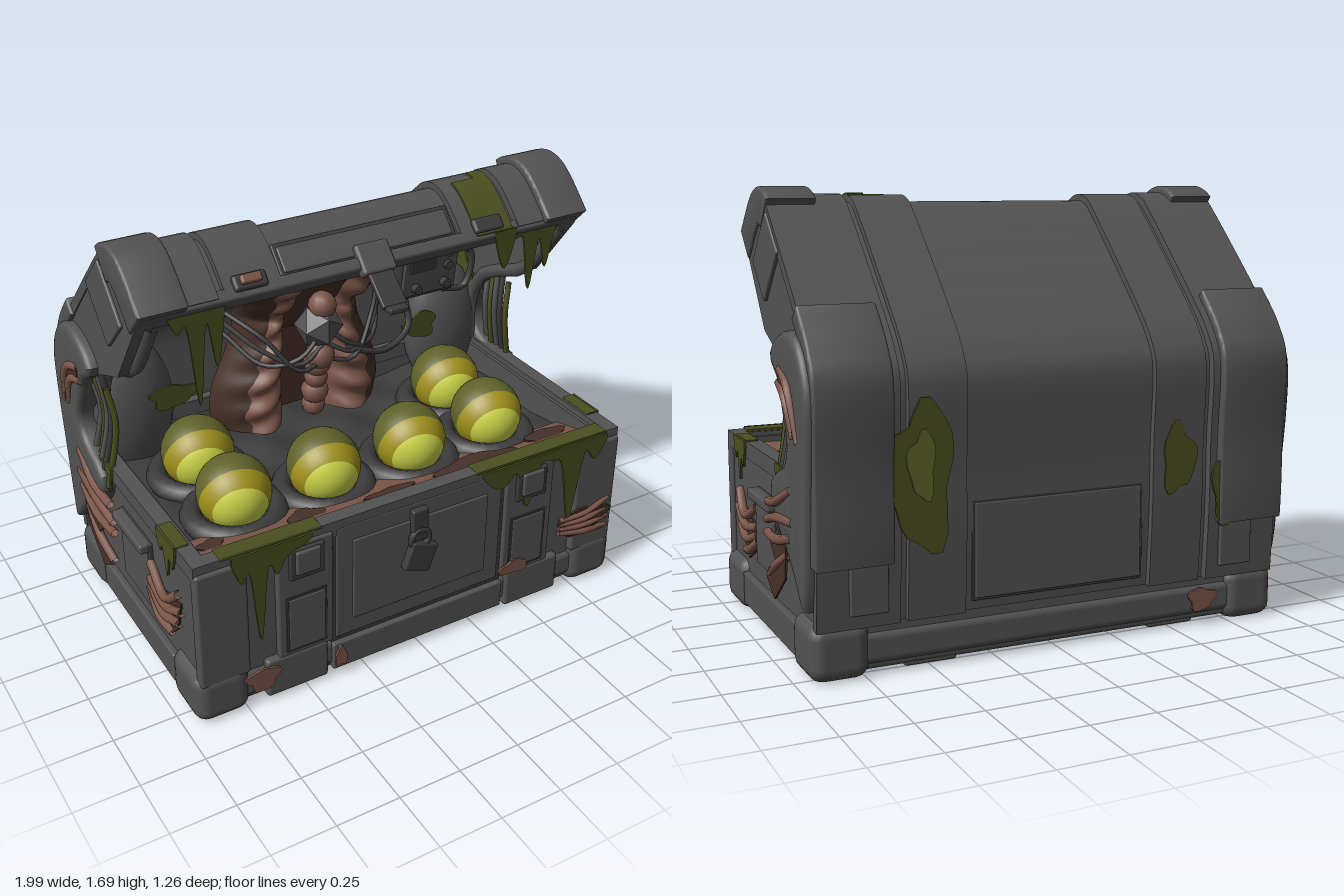
import * as THREE from 'three';
import { toCreasedNormals } from 'three/addons/utils/BufferGeometryUtils.js';
import { RoundedBoxGeometry } from 'three/addons/geometries/RoundedBoxGeometry.js';
import { ParametricGeometry } from 'three/addons/geometries/ParametricGeometry.js';

export function createModel() {
  const model = new THREE.Group();
  const mat = (name, color, side = THREE.FrontSide) => {
    const m = new THREE.MeshStandardMaterial({ color, side });
    m.name = name;
    return m;
  };
  const metal = mat('worn grey metal', 0x535353);
  const dark = mat('dark grey metal', 0x3c3c3c);
  const flesh = mat('brown flesh', 0x7c5649, THREE.DoubleSide);
  const deep = mat('deep brown', 0x463028, THREE.DoubleSide);
  const slime = mat('dark slime', 0x4a5020, THREE.DoubleSide);
  const olive = mat('olive shell', 0x60622a);
  const gold = mat('golden shell', 0xa0911c);
  const bright = mat('glowing yellow', 0xcfd84a);

  const add = (name, geo, m, x = 0, y = 0, z = 0, rx = 0, ry = 0, rz = 0) => {
    const mesh = new THREE.Mesh(geo, m);
    mesh.name = name;
    mesh.position.set(x, y, z);
    mesh.rotation.set(rx, ry, rz);
    model.add(mesh);
    return mesh;
  };
  const box = (name, m, w, h, d, ...place) =>
    add(name, new RoundedBoxGeometry(w, h, d, 2, Math.min(w, h, d) * 0.25), m, ...place);
  const tube = (name, m, pts, r) => add(name, new THREE.TubeGeometry(
    new THREE.CatmullRomCurve3(pts.map(p => new THREE.Vector3(...p))), 16, r, 7), m);
  const shapeOf = pts => new THREE.Shape(pts.map(p => new THREE.Vector2(...p)));
  const spline = pts => new THREE.SplineCurve(pts.map(p => new THREE.Vector2(...p)));
  // Extrudes a [z, y] outline along x
  const slab = (name, m, pts, x0, x1, bevel = 0) => {
    const g = new THREE.ExtrudeGeometry(shapeOf(pts), {
      depth: x1 - x0 - 2 * bevel, bevelEnabled: bevel > 0,
      bevelSize: bevel, bevelThickness: bevel, bevelSegments: 3 });
    g.rotateY(-Math.PI / 2).translate(x1 - bevel, 0, 0);
    return add(name, toCreasedNormals(g, 0.6), m);
  };
  // Slime sheet with a dripping lower edge, drip lengths run from left to right
  const sheet = (x0, x1, top, lens, ...place) => {
    const edge = spline(lens.map((l, i) => [x0 + (x1 - x0) * i / (lens.length - 1), top - l]));
    const s = new THREE.Shape([new THREE.Vector2(x1, top), new THREE.Vector2(x0, top), ...edge.getPoints(lens.length * 5)]);
    add('slimeSheet', new THREE.ExtrudeGeometry(s, { depth: 0.009, bevelEnabled: false }), slime, ...place);
  };
  // Thin irregular stain
  const blob = (name, m, x, y, z, w, h, ry = 0, rx = 0) => {
    const pts = Array.from({ length: 24 }, (_, i) => {
      const a = i / 24 * Math.PI * 2, r = 1 + 0.15 * Math.sin(3 * a + x * 9) + 0.1 * Math.sin(5 * a);
      return [w * r * Math.cos(a), h * r * Math.sin(a)];
    });
    add(name, new THREE.ExtrudeGeometry(shapeOf(pts), { depth: 0.009, bevelEnabled: false }), m, x, y, z, rx, ry);
  };

  // Open lower box with rim and floor
  const frame = (name, w, z0, z1, t, y0, y1) => {
    const rect = (a, b, c, d) => [[a, c], [b, c], [b, d], [a, d]];
    const s = shapeOf(rect(-w, w, -z1, -z0));
    s.holes.push(new THREE.Path(rect(-w + t, w - t, -z1 + t, -z0 - t).map(p => new THREE.Vector2(...p))));
    const g = new THREE.ExtrudeGeometry(s, { depth: y1 - y0, bevelEnabled: false });
    add(name, g.rotateX(-Math.PI / 2), metal, 0, y0, 0);
  };
  frame('chestWalls', 0.92, -0.54, 0.57, 0.06, 0.05, 0.69);
  frame('chestRim', 0.935, -0.52, 0.585, 0.06, 0.65, 0.715);
  box('chestFloor', metal, 1.84, 0.08, 1.11, 0, 0.07, 0.015);
  box('baseBand', metal, 1.86, 0.12, 1.14, 0, 0.11, 0.015);

  // Lid profile in [z, y], running from the back base to the front lip
  const profile = spline([[-0.545, 0.2], [-0.56, 0.5], [-0.56, 0.75], [-0.57, 1.02],
    [-0.53, 1.13], [-0.42, 1.26], [-0.1, 1.575], [-0.02, 1.635], [0.05, 1.64], [0.12, 1.6], [0.225, 1.5]]);
  const offset = (d, a = 0, b = 1, n = 36) => Array.from({ length: n + 1 }, (_, i) => {
    const t = a + (b - a) * i / n, p = profile.getPoint(t), q = profile.getTangent(t);
    return [p.x - q.y * d, p.y + q.x * d];
  });
  const strip = (name, m, d0, d1, x0, x1, a, b, bevel) =>
    slab(name, m, [...offset(d1, a, b), ...offset(d0, a, b).reverse()], x0, x1, bevel);
  strip('lidShell', metal, -0.06, 0, -0.91, 0.91);
  box('lidLip', metal, 1.82, 0.05, 0.1, 0, 1.49, 0.2, -0.75);
  box('lidInnerLip', dark, 1.7, 0.03, 0.05, 0, 1.465, 0.175, -0.75);

  for (const s of [-1, 1]) {
    const span = (a, b) => s > 0 ? [a, b] : [-b, -a];
    strip('lidBand', metal, -0.01, 0.025, ...span(0.38, 0.6), 0, 1);
    strip('lidEnd', metal, -0.01, 0.03, ...span(0.63, 0.935), 0, 1);
    strip('lidEndRidge', metal, 0, 0.045, ...span(0.66, 0.95), 0.08, 0.5, 0.012);
    strip('lidCornerCap', metal, -0.07, 0.045, ...span(0.75, 0.94), 0.64, 1, 0.012);
    slab('lidSide', metal, [...offset(0.02, 0.1), [0.21, 1.46], [0, 1.18], [-0.17, 1.11],
      [-0.28, 1.06], [-0.35, 0.96], [-0.39, 0.84], [-0.36, 0.7], [-0.4, 0.5]], ...span(0.86, 0.93));
    // Swollen hinge growth on the side
    slab('hingeGrowth', metal, spline([[-0.53, 0.3], [-0.56, 0.6], [-0.585, 0.85], [-0.58, 1.04], [-0.49, 1.17],
      [-0.36, 1.19], [-0.23, 1.12], [-0.31, 1.05], [-0.36, 0.95], [-0.41, 0.83], [-0.36, 0.73], [-0.2, 0.65],
      [-0.25, 0.54], [-0.42, 0.42], [-0.53, 0.3]]).getPoints(56).slice(0, -1), ...span(0.88, 0.975), 0.025);
    tube('lidOpeningRim', metal, [[0.2, 1.46], [0, 1.2], [-0.17, 1.12], [-0.29, 1.05], [-0.36, 0.92], [-0.37, 0.72]]
      .map(([z, y]) => [s * 0.865, y, z]), 0.028);
    box('lidSidePanel', metal, 0.03, 0.2, 0.26, s * 0.928, 1.45, -0.06, 0.8);
    // Swollen tissue in the lower lid corners
    add('innerSwelling', new THREE.SphereGeometry(1, 24, 16), metal, s * 0.74, 0.8, -0.42).scale.set(0.18, 0.3, 0.11);

    // Corner caps, straps and clasps
    for (const z of [0.48, -0.45]) box('cornerCap', metal, 0.22, 0.21, 0.25, s * 0.845, 0.115, z);
    box('cornerPost', metal, 0.2, 0.5, 0.05, s * 0.835, 0.43, 0.575);
    box('frontStrap', metal, 0.23, 0.5, 0.04, s * 0.5, 0.43, 0.575);
    box('strapPanel', dark, 0.17, 0.25, 0.008, s * 0.5, 0.33, 0.595);
    box('strapPanelFace', metal, 0.15, 0.23, 0.015, s * 0.5, 0.33, 0.597);
    box('strapFoot', metal, 0.26, 0.17, 0.06, s * 0.54, 0.11, 0.57);
    box('claspPlate', dark, 0.14, 0.13, 0.02, s * 0.5, 0.6, 0.6);
    box('clasp', metal, 0.1, 0.1, 0.03, s * 0.5, 0.61, 0.608);
    box('bottomRail', metal, 0.2, 0.04, 1.1, s * 0.5, 0.04, 0.015);
    box('backStrapPanel', metal, 0.14, 0.22, 0.02, s * 0.75, 0.36, -0.59);
    box('lidClasp', dark, 0.13, 0.06, 0.05, s * 0.5, 1.54, 0.21, -0.75);
    box('sidePanelRim', dark, 0.02, 0.3, 0.29, s * 0.925, 0.41, 0.035);
    box('sidePanel', metal, 0.02, 0.27, 0.26, s * 0.93, 0.4, 0.035);
    box('sideHandle', metal, 0.05, 0.04, 0.28, s * 0.945, 0.54, 0.035);
    box('sideBaseBand', metal, 0.04, 0.13, 0.7, s * 0.925, 0.11, 0.015);

    // Torn flesh and ribs on the sides
    const wound = (pts, x) => slab('sideWound', deep, pts, ...span(x, x + 0.008));
    wound([[0.44, 0.46], [0.2, 0.4], [0.14, 0.33], [0.32, 0.24], [0.4, 0.32]], 0.922);
    wound([[-0.15, 0.46], [-0.38, 0.46], [-0.36, 0.34], [-0.22, 0.23], [-0.12, 0.29], [-0.24, 0.38]], 0.972);
    wound([[-0.32, 1.08], [-0.44, 1.04], [-0.52, 0.86], [-0.47, 0.86], [-0.42, 0.97], [-0.32, 1.03]], 0.97);
    const ribs = [[0.43, 0.5, 0.32, 0.42, 0.17, 0.48], [0.45, 0.43, 0.32, 0.38, 0.16, 0.4],
      [0.42, 0.36, 0.3, 0.33, 0.16, 0.37], [0.35, 0.27, 0.26, 0.29, 0.15, 0.35],
      [-0.1, 0.5, -0.25, 0.54, -0.44, 0.56], [-0.12, 0.57, -0.26, 0.6, -0.42, 0.67],
      [-0.1, 0.45, -0.25, 0.46, -0.42, 0.5], [-0.13, 0.3, -0.24, 0.36, -0.37, 0.43],
      [-0.32, 1.08, -0.44, 1.03, -0.52, 0.85], [-0.3, 1.03, -0.41, 0.99, -0.47, 0.86]];
    ribs.forEach(([z0, y0, z1, y1, z2, y2], i) => {
      const x = i < 4 ? 0.93 : 0.965;
      tube('sideRib', flesh, [[s * x, y0, z0], [s * (x + 0.012), y1, z1], [s * x, y2, z2]], 0.018);
    });

    // Strands of slime and tissue across the opening
    for (const [m, z, top, end] of [[slime, -0.17, 1.05, 0.62], [dark, -0.21, 1.1, 0.66],
      [metal, -0.25, 1.08, 0.66], [slime, -0.28, 1.05, 0.6], [metal, -0.32, 1.02, 0.66]])
      tube('openingStrand', m, [[s * 0.92, top, z], [s * 0.9, 0.9, z + 0.015], [s * 0.945, end, z]], 0.013);
    sheet(-0.06, 0.06, 0.715, [0.03, 0.08, 0.05, 0.12, 0.04], s * 0.936, 0, -0.2, 0, s * Math.PI / 2);
    sheet(-0.08, 0.08, 0.72, [0.03, 0.09, 0.06, 0.17, 0.08, 0.11, 0.03], s * 0.936, 0, 0.37, 0, s * Math.PI / 2);
    box('sideRimSlime', slime, 0.05, 0.012, 0.16, s * 0.91, 0.715, 0.37);
    blob('innerSlime', slime, s * 0.85, 1.0, -0.4, 0.06, 0.13, -s * Math.PI / 2);

    // Flesh wings lining the lid, with a deeper fringe behind
    const wing = (name, m, widen, push, amp) => add(name, new ParametricGeometry((u, v, p) => {
      const y = 0.6 + 0.88 * v;
      const base = Math.max(-0.37, -0.47 + (y - 1.0));
      const outer = 0.3 + widen + 0.06 * Math.cos((v - 1) * 7);
      const fold = amp * Math.sin(v * 46 + u * 4) * Math.sin(Math.PI * u);
      p.set(s * (0.08 + (outer - 0.08) * u), y, base + push + 0.15 * Math.sin(Math.PI * u) ** 0.7 + fold);
    }, 14, 70), m);
    wing('fleshWing', flesh, 0, -0.03, 0.016);
    wing('wingFringe', deep, 0.04, -0.05, 0.008);
  }

  // Centre front panel, hasp and padlock
  box('frontPanelRim', dark, 0.78, 0.54, 0.02, 0, 0.43, 0.57);
  box('frontPanel', metal, 0.74, 0.5, 0.03, 0, 0.43, 0.572);
  box('frontPanelInset', metal, 0.6, 0.36, 0.02, 0, 0.43, 0.585);
  box('frontBaseBand', metal, 0.78, 0.12, 0.03, 0, 0.1, 0.585);
  box('hasp', dark, 0.07, 0.14, 0.03, -0.02, 0.59, 0.6);
  add('padlockShackle', new THREE.TorusGeometry(0.04, 0.012, 8, 16), dark, -0.02, 0.53, 0.61);
  box('padlock', dark, 0.12, 0.12, 0.035, -0.02, 0.45, 0.61, 0, 0, -0.35);
  box('backPanelRim', dark, 0.7, 0.37, 0.01, 0, 0.42, -0.556);
  box('backPanel', metal, 0.68, 0.35, 0.02, 0, 0.42, -0.558);

  // Lid front panel and latch tongue
  box('lidFrontPanelRim', dark, 0.74, 0.13, 0.02, 0, 1.565, 0.16, -0.75);
  box('lidFrontPanel', metal, 0.71, 0.1, 0.03, 0, 1.565, 0.16, -0.75);
  box('latchPlate', metal, 0.14, 0.12, 0.05, 0, 1.52, 0.22, -0.75);
  box('latchTongue', dark, 0.1, 0.18, 0.022, 0, 1.45, 0.3, -0.85);
  box('latchHook', dark, 0.08, 0.022, 0.06, 0, 1.388, 0.375);
  box('lidClaspRust', flesh, 0.08, 0.035, 0.05, -0.5, 1.555, 0.22, -0.75);

  // Nest bed and lining
  add('nestBed', new ParametricGeometry((u, v, p) => p.set(-0.88 + 1.76 * u,
    0.58 + 0.02 * Math.sin(u * 31) * Math.cos(v * 14), 0.54 - 1.06 * v), 40, 24), dark);
  add('fleshLining', new ParametricGeometry((u, v, p) => p.set(-0.86 + 1.72 * u,
    0.67 - 0.06 * v, 0.525 - 0.23 * v), 40, 8), flesh);
  for (const [x, z, w, h] of [[0.35, 0.43, 0.2, 0.035], [0.72, 0.4, 0.09, 0.04], [-0.05, 0.45, 0.1, 0.025],
    [-0.4, 0.41, 0.08, 0.03], [-0.78, 0.4, 0.05, 0.03]])
    blob('liningStain', deep, x, 0.67 - 0.26 * (0.525 - z), z, w, h, 0, -Math.PI / 2 + 0.255);
  slab('fleshHollow', deep, [[-0.46, 0.6], [-0.45, 1.0], [-0.02, 1.44], [-0.01, 1.43], [-0.4, 0.98], [-0.42, 0.6]], -0.12, 0.12);

  // Eggs with coloured zones, each in a dark ring
  const zones = [[bright, 0, 0.83], [gold, 0.83, 0.52], [olive, 1.35, Math.PI - 1.35]];
  const gaze = new THREE.Quaternion().setFromUnitVectors(new THREE.Vector3(0, 1, 0),
    new THREE.Vector3(-0.2, -0.24, 1).normalize());
  for (const [x, z] of [[-0.59, 0.2], [-0.21, 0.21], [0.18, 0.21], [0.56, 0.2], [-0.59, -0.12], [0.57, -0.12]]) {
    const egg = new THREE.Group();
    egg.name = 'egg';
    egg.position.set(x, 0.7, z);
    for (const [m, t, len] of zones) {
      const part = new THREE.Mesh(new THREE.SphereGeometry(0.145, 28, 10, 0, Math.PI * 2, t, len), m);
      part.name = 'eggZone';
      part.quaternion.copy(gaze);
      egg.add(part);
    }
    model.add(egg);
    add('eggRing', new THREE.TorusGeometry(0.165, 0.045, 8, 24), dark, x, 0.6, z, Math.PI / 2);
  }

  // Central spine with node and hoses
  for (let i = 0; i < 8; i++)
    add('spineSegment', new THREE.SphereGeometry(0.05 + 0.008 * (i % 2), 12, 8), flesh, 0, 0.68 + i * 0.07, -0.25 + i * 0.012);
  add('spineNode', new THREE.IcosahedronGeometry(0.1, 0), metal, -0.01, 1.08, -0.18);
  add('spineBall', new THREE.SphereGeometry(0.06, 16, 10), flesh, -0.01, 0.95, -0.17);
  for (const s of [-1, 1]) for (let i = 0; i < 3; i++)
    tube('spineHose', dark, [[0, 1.08 - i * 0.07, -0.15], [s * 0.12, 0.98 - i * 0.03, -0.13],
      [s * 0.25, 0.95 + i * 0.06, -0.2], [s * 0.36, 1.06 + i * 0.05, -0.34]], 0.01);

  // Control unit mounted inside the lid
  box('controlUnit', dark, 0.3, 0.28, 0.12, 0.53, 1.2, -0.26, 0.15);
  box('controlFace', metal, 0.26, 0.24, 0.02, 0.53, 1.2, -0.2, 0.15);
  box('controlScreen', dark, 0.13, 0.1, 0.02, 0.49, 1.24, -0.19, 0.15);
  for (const [x, y] of [[0.61, 1.26], [0.61, 1.2], [0.6, 1.12], [0.46, 1.12]])
    add('controlKnob', new THREE.CylinderGeometry(0.02, 0.02, 0.04, 12), dark, x, y, -0.19, Math.PI / 2);
  tube('controlCable', dark, [[0.66, 1.25, -0.25], [0.77, 1.2, -0.25], [0.74, 1.05, -0.25], [0.62, 1.06, -0.25]], 0.014);
  tube('controlCable', dark, [[0.44, 1.07, -0.25], [0.43, 0.95, -0.2], [0.3, 0.89, -0.17], [0.1, 0.95, -0.17]], 0.014);

  // Slime along the front rim and lid
  sheet(-0.8, -0.48, 0.72, [0.03, 0.12, 0.1, 0.4, 0.09, 0.13, 0.07, 0.05, 0.04, 0.02], 0, 0, 0.601);
  sheet(0.26, 0.86, 0.72, [0.02, 0.08, 0.09, 0.05, 0.22, 0.05, 0.04, 0.08, 0.36, 0.06, 0.1, 0.03], 0, 0, 0.601);
  sheet(-0.82, -0.6, 1.51, [0.03, 0.1, 0.09, 0.4, 0.08, 0.26, 0.04], 0, 0, 0.215);
  sheet(0.6, 0.9, 1.51, [0.02, 0.05, 0.06, 0.28, 0.07, 0.2, 0.05, 0.03, 0.02], 0, 0, 0.215);
  sheet(0.52, 0.62, 1.52, [0.02, 0.16, 0.03], 0, 0, 0.24);
  strip('lidSlime', slime, 0.02, 0.033, 0.44, 0.6, 0.8, 1);
  strip('lidSlime', slime, 0.02, 0.033, 0.54, 0.6, 0.74, 0.8);
  for (const [x, w] of [[-0.63, 0.4], [0.56, 0.62]]) box('rimSlime', slime, w, 0.012, 0.07, x, 0.715, 0.555);
  blob('innerSlime', slime, -0.6, 0.86, -0.31, 0.1, 0.05);
  blob('innerSlime', slime, 0.56, 0.88, -0.31, 0.08, 0.06);

  // Slime and rust stains
  blob('backSlime', slime, 0.56, 0.72, -0.604, 0.12, 0.26, Math.PI);
  blob('backSlimeCore', olive, 0.56, 0.76, -0.61, 0.05, 0.12, Math.PI);
  blob('backSlime', slime, -0.49, 0.69, -0.582, 0.07, 0.13, Math.PI);
  blob('backSlime', slime, -0.69, 0.56, -0.602, 0.055, 0.14, Math.PI);
  blob('backSlime', slime, -0.78, 1.0, -0.612, 0.04, 0.06, Math.PI);
  blob('backRust', flesh, -0.62, 0.12, -0.565, 0.06, 0.045, Math.PI);
  blob('rust', flesh, -0.69, 0.135, 0.602, 0.065, 0.05);
  blob('rust', flesh, -0.36, 0.1, 0.602, 0.025, 0.045);
  blob('rust', flesh, 0.44, 0.22, 0.6, 0.07, 0.03);
  blob('rust', deep, 0.78, 0.33, 0.6, 0.12, 0.06);
  for (let i = 0; i < 4; i++)
    tube('frontRib', flesh, [[0.66, 0.3 + i * 0.02, 0.6], [0.78, 0.28 + i * 0.03, 0.615], [0.91, 0.26 + i * 0.045, 0.595]], 0.012);
  return model;
}
